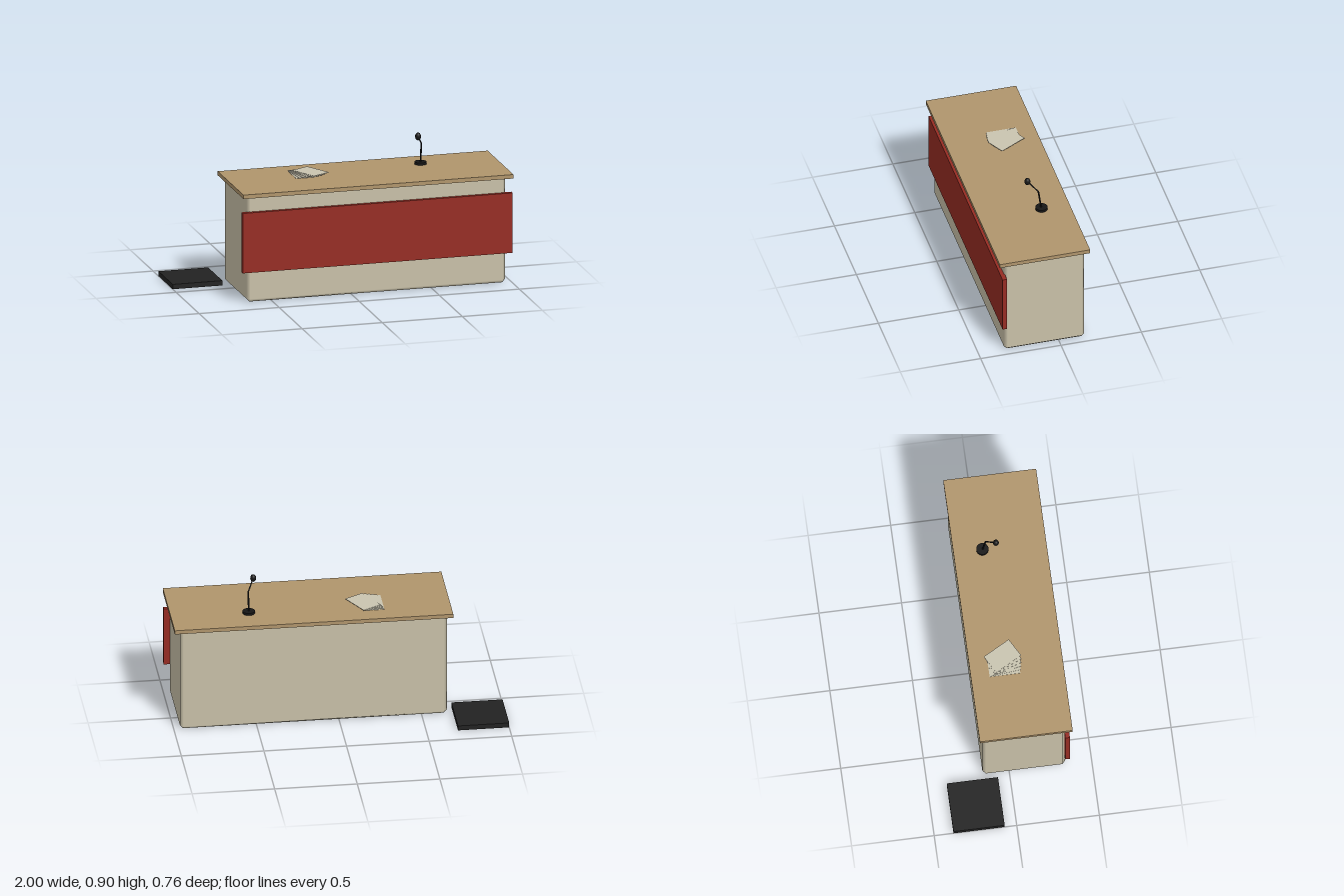
import * as THREE from 'three';
import { ConvexGeometry } from 'three/addons/geometries/ConvexGeometry.js';

const mat = (name, color) => {
  const m = new THREE.MeshStandardMaterial({ color });
  m.name = name;
  return m;
};

// Box with chamfered edges; normals stay flat on the faces and blend over the chamfers
function chamferBox(w, h, d, c) {
  const half = [w / 2, h / 2, d / 2];
  const points = [];
  for (let axis = 0; axis < 3; axis++)
    for (const sx of [-1, 1]) for (const sy of [-1, 1]) for (const sz of [-1, 1])
      points.push(new THREE.Vector3(...[sx, sy, sz].map((s, i) => s * (half[i] - (i === axis ? 0 : c)))));
  const geo = new ConvexGeometry(points);
  const pos = geo.attributes.position;
  for (let i = 0; i < pos.count; i++) {
    const p = [pos.getX(i), pos.getY(i), pos.getZ(i)];
    geo.attributes.normal.setXYZ(i, ...p.map((v, k) => (Math.abs(Math.abs(v) - half[k]) < 1e-4 ? Math.sign(v) : 0)));
  }
  return geo;
}

export function createModel() {
  const group = new THREE.Group();
  group.name = 'counterDesk';

  const cream = mat('cream', 0xc8c0a8);
  const wood = mat('wood', 0xb0956c);
  const red = mat('red', 0x962c23);
  const charcoal = mat('charcoal', 0x222222);
  const black = mat('black', 0x161616);
  const paper = mat('paper', 0xc9c4b0);

  const add = (name, geo, material, x, y, z, parent = group) => {
    const m = new THREE.Mesh(geo, material);
    m.name = name;
    m.position.set(x, y, z);
    parent.add(m);
    return m;
  };

  // Desk
  add('deskBody', chamferBox(1.615, 0.658, 0.5, 0.019), cream, 0.154, 0.329, 0.09);
  add('deskTop', new THREE.BoxGeometry(1.686, 0.025, 0.562), wood, 0.155, 0.6695, 0.099);
  add('frontPanel', new THREE.BoxGeometry(1.686, 0.373, 0.028), red, 0.155, 0.3765, 0.349);

  // Floor plate beside the desk
  add('floorPlate', new THREE.BoxGeometry(0.31, 0.03, 0.31), charcoal, -0.845, 0.015, -0.228);

  // Fanned sheets, each one turned and shifted a little further
  const papers = new THREE.Group();
  papers.name = 'papers';
  group.add(papers);
  const count = 6;
  for (let i = 0; i < count; i++) {
    const t = i / (count - 1);
    const sheet = add('sheet', new THREE.BoxGeometry(0.126, 0.0018, 0.186), paper,
      -0.222 + 0.055 * t, 0.685 + 0.011 * t, 0.023, papers);
    sheet.rotation.y = THREE.MathUtils.degToRad(29 * t);
  }

  // Gooseneck microphone
  const mic = new THREE.Group();
  mic.name = 'microphone';
  group.add(mic);
  const rod = (name, a, b, r0, r1) => {
    const dir = b.clone().sub(a);
    const mid = a.clone().add(b).multiplyScalar(0.5);
    const m = add(name, new THREE.CylinderGeometry(r1, r0, dir.length(), 10), black, mid.x, mid.y, mid.z, mic);
    m.quaternion.setFromUnitVectors(new THREE.Vector3(0, 1, 0), dir.normalize());
  };
  const foot = new THREE.Vector3(0.528, 0.688, -0.006);
  const bend = new THREE.Vector3(0.528, 0.815, 0.012);
  const tip = new THREE.Vector3(0.491, 0.876, 0.07);
  add('microphoneBase', new THREE.CylinderGeometry(0.037, 0.037, 0.016, 20), black, 0.528, 0.689, -0.007, mic);
  rod('lowerStem', foot, bend, 0.005, 0.005);
  rod('upperStem', bend, tip, 0.004, 0.004);
  add('stemJoint', new THREE.SphereGeometry(0.005, 10, 8), black, bend.x, bend.y, bend.z, mic);
  add('microphoneHead', new THREE.SphereGeometry(0.018, 16, 12), black, tip.x, tip.y, tip.z, mic).scale.y = 1.32;

  return group;
}
